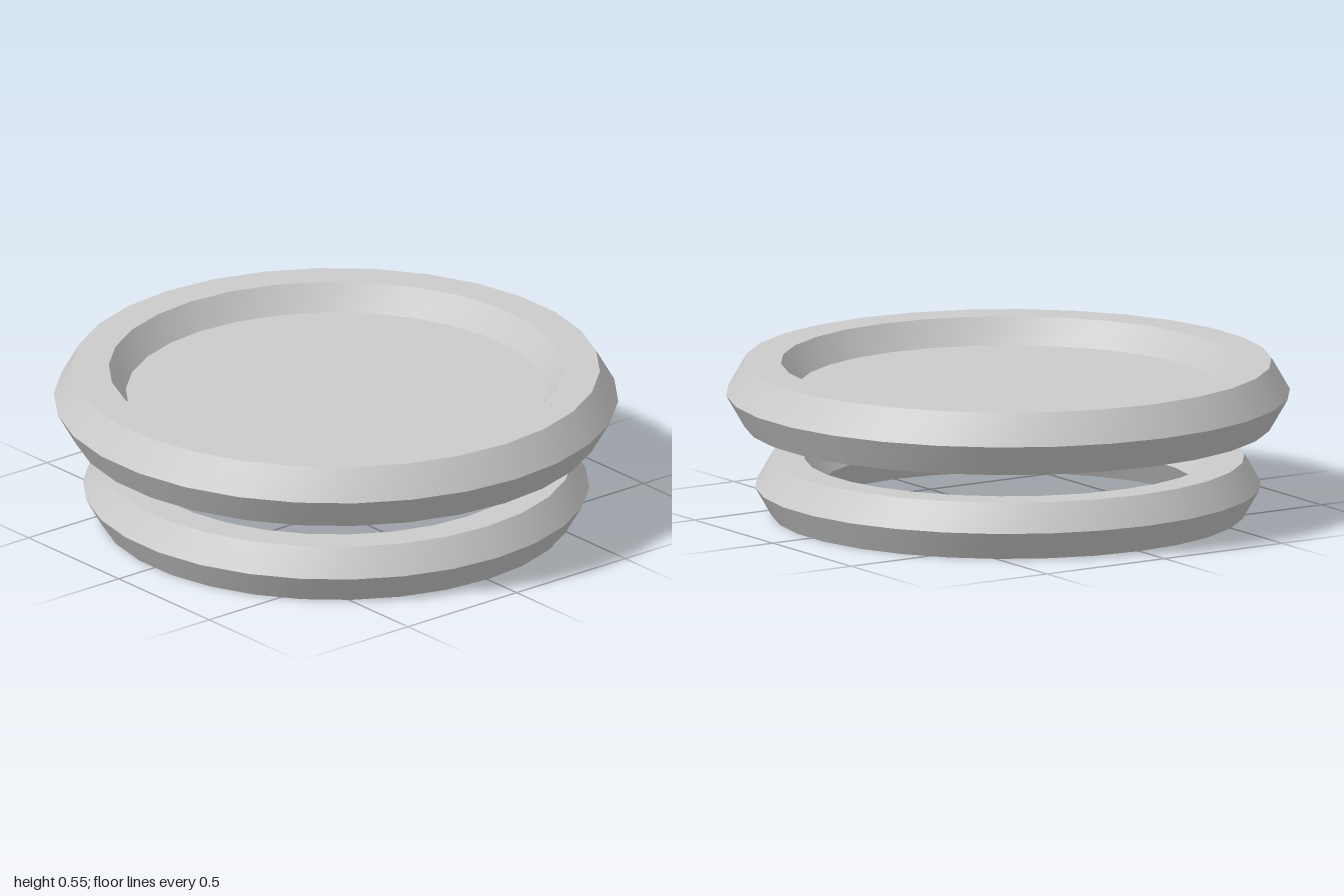
import * as THREE from 'three';
import { toCreasedNormals } from 'three/addons/utils/BufferGeometryUtils.js';

const SIDES = 30;

export function createModel() {
  const model = new THREE.Group();
  const grey = new THREE.MeshStandardMaterial({ color: 0xcccccc });

  // Ring with a hexagonal cross-section, smooth around and sharp across
  function addRing(name, radius, thickness, y) {
    const torus = new THREE.TorusGeometry(radius, thickness, 6, SIDES);
    torus.rotateX(-Math.PI / 2);
    const ring = new THREE.Mesh(toCreasedNormals(torus, Math.PI / 5), grey);
    ring.name = name;
    ring.position.y = y;
    model.add(ring);
  }

  addRing('lowerRing', 0.78, 0.117, 0.102);
  addRing('upperRing', 0.87, 0.13, 0.435);

  // Thin plate closing the upper ring
  const disc = new THREE.CircleGeometry(0.745, SIDES);
  disc.rotateX(-Math.PI / 2);
  const plate = new THREE.Mesh(
    disc,
    new THREE.MeshStandardMaterial({ color: 0xcccccc, side: THREE.DoubleSide })
  );
  plate.name = 'plate';
  plate.position.y = 0.455;
  model.add(plate);

  return model;
}
